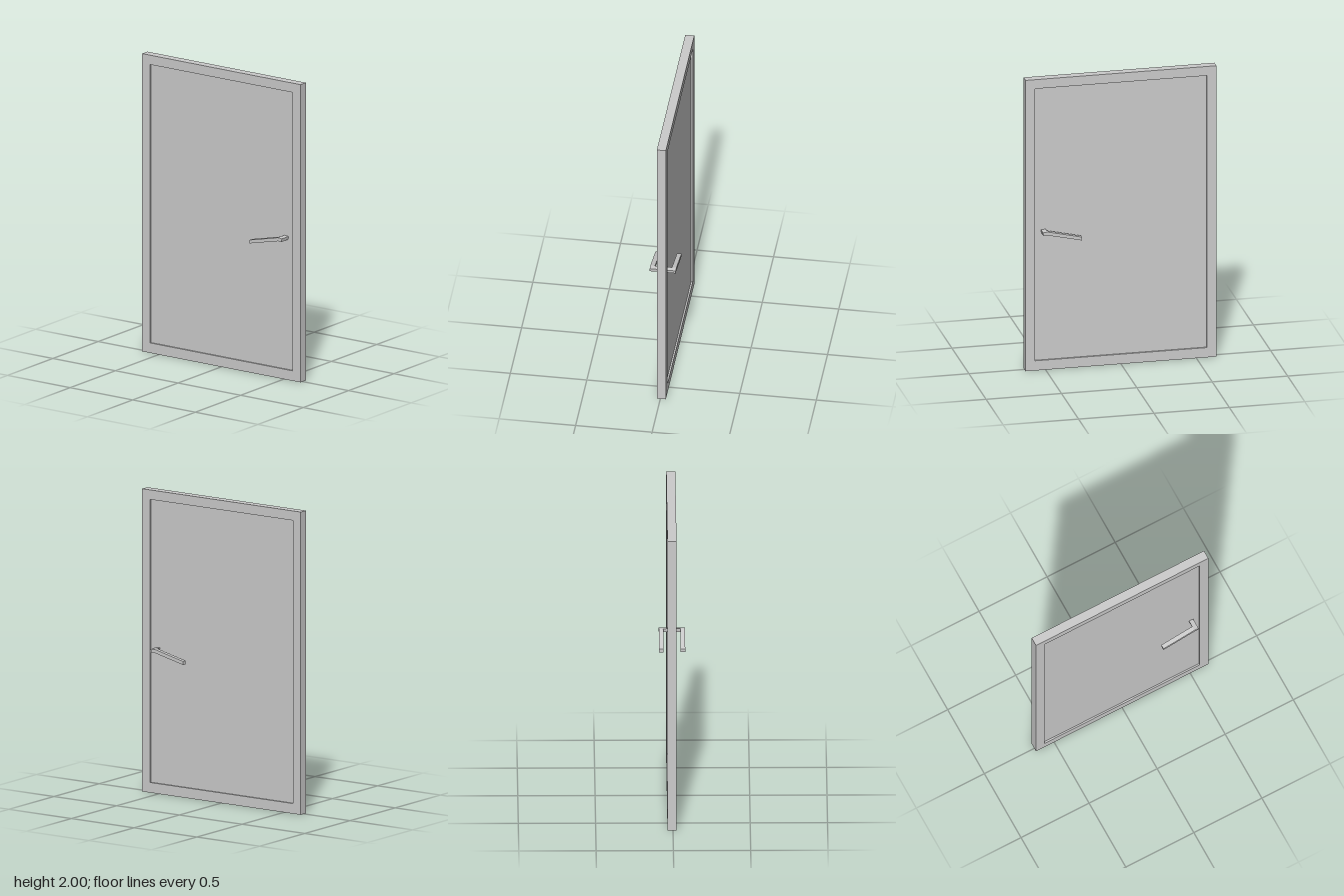
import * as THREE from 'three';

const material = new THREE.MeshStandardMaterial({ color: 0xcccccc, flatShading: true });

const outline = (points) => new THREE.Shape(points.map(([x, y]) => new THREE.Vector2(x, y)));

// Extrudes a front outline between two depths.
function slab(name, shape, z0, z1) {
  const geometry = new THREE.ExtrudeGeometry(shape, { depth: z1 - z0, bevelEnabled: false });
  geometry.translate(0, 0, z0);
  const mesh = new THREE.Mesh(geometry, material);
  mesh.name = name;
  return mesh;
}

const rectangle = (x, y0, y1) => [[-x, y0], [x, y0], [x, y1], [-x, y1]];

export function createModel() {
  const door = new THREE.Group();
  door.name = 'door';

  // Border frame around a slightly recessed panel
  const back = -0.036, front = 0.023, recess = 0.011;
  const opening = rectangle(0.57, 0.067, 1.937);
  const frame = outline(rectangle(0.633, 0, 2));
  frame.holes.push(outline(opening));
  door.add(slab('frame', frame, back, front));
  door.add(slab('panel', outline(opening), back + recess, front - recess));

  // Drooping lever with a short shank, on each face
  const lever = outline([
    [0.27, 0.888], [0.5, 0.941], [0.526, 0.94], [0.528, 0.961], [0.497, 0.964], [0.27, 0.911],
  ]);
  const shank = outline([[0.499, 0.941], [0.526, 0.94], [0.528, 0.961], [0.497, 0.964]]);
  const sides = [
    ['front', [0.055, 0.085], [front - recess, 0.055]],
    ['back', [-0.085, -0.056], [-0.056, back + recess]],
  ];
  for (const [side, leverZ, shankZ] of sides) {
    const handle = new THREE.Group();
    handle.name = `${side}Handle`;
    handle.add(slab('lever', lever, ...leverZ), slab('shank', shank, ...shankZ));
    door.add(handle);
  }

  return door;
}
